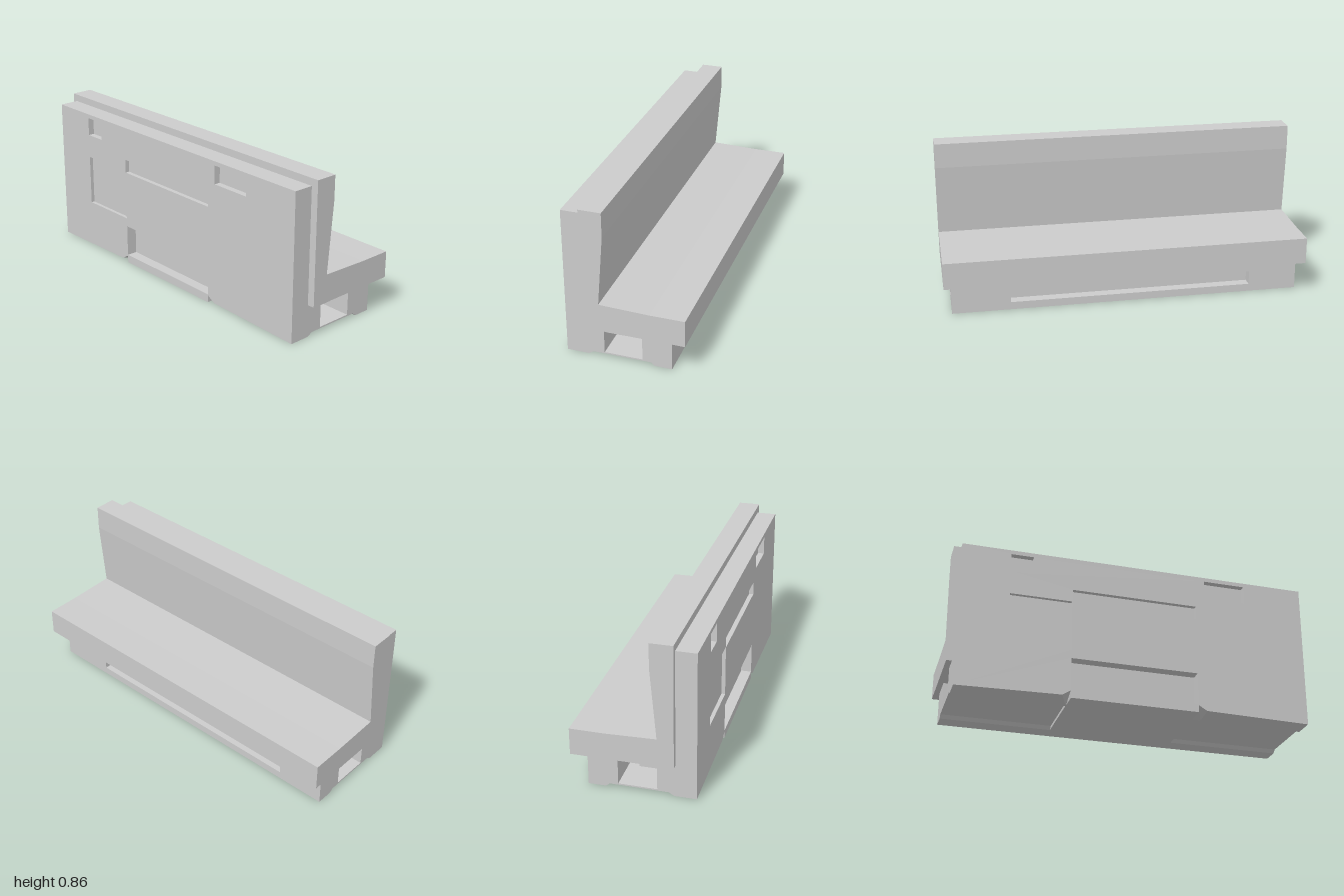
import * as THREE from 'three';

const material = new THREE.MeshStandardMaterial({ color: 0xcccccc });

export function createModel() {
  const model = new THREE.Group();
  model.name = 'boothBench';

  const add = (name, geometry) => {
    const mesh = new THREE.Mesh(geometry, material);
    mesh.name = name;
    model.add(mesh);
    return mesh;
  };
  // Box given by its limits on each axis
  const box = (name, x0, x1, y0, y1, z0, z1) => {
    const g = new THREE.BoxGeometry(x1 - x0, y1 - y0, z1 - z0);
    g.translate((x0 + x1) / 2, (y0 + y1) / 2, (z0 + z1) / 2);
    return add(name, g);
  };
  const outline = (points) => new THREE.Shape(points.map(([a, b]) => new THREE.Vector2(a, b)));
  const rectangle = (x0, x1, y0, y1) => outline([[x0, y0], [x1, y0], [x1, y1], [x0, y1]]);
  // Front outline pulled along z
  const extrudeZ = (shape, z0, z1) => {
    const g = new THREE.ExtrudeGeometry(shape, { depth: z1 - z0, bevelEnabled: false });
    return g.translate(0, 0, z0);
  };
  // Side profile of [z, y] points pulled along x
  const extrudeX = (profile, x0, x1) => {
    const shape = outline(profile.map(([z, y]) => [-z, y]));
    const g = new THREE.ExtrudeGeometry(shape, { depth: x1 - x0, bevelEnabled: false });
    return g.rotateY(Math.PI / 2).translate(x0, 0, 0);
  };

  const L = -0.97, R = 0.96; // ends of panel and base
  const zMid = 0.215, zFront = 0.325, zBack = -0.243;

  // L-shaped seat and backrest
  add('seatAndBackrest', extrudeX([
    [zMid, 0.18], [zMid, 0.855], [0.095, 0.855], [0.095, 0.72],
    [0.128, 0.335], [-0.14, 0.327], [-0.325, 0.327], [-0.325, 0.18],
  ], -1, 1));

  // Tall panel with recesses: x0, x1, y0, y1, depth
  const recesses = [
    [-0.705, -0.582, 0.69, 0.792, 0.035],
    [0.385, 0.62, 0.69, 0.792, 0.035],
    [-0.705, -0.367, 0.273, 0.556, 0.02],
    [-0.365, 0.332, 0.551, 0.627, 0.025],
    [-0.365, 0.332, 0.046, 0.224, 0.06],
  ];
  const panelShape = outline([
    [L, 0], [-0.41, 0.012], [-0.366, 0.04], [-0.364, 0],
    [0.331, 0], [0.333, 0.04], [0.38, 0.012], [R, 0], [R, 0.815], [L, 0.815],
  ]);
  for (const [x0, x1, y0, y1] of recesses) panelShape.holes.push(rectangle(x0, x1, y0, y1));
  const panel = extrudeZ(panelShape, zMid, zFront);
  // The notches in the bottom edge run out to nothing at the rear
  const p = panel.attributes.position;
  for (let i = 0; i < p.count; i++) {
    if (p.getZ(i) < zMid + 0.01 && p.getY(i) < 0.043) p.setY(i, 0);
  }
  panel.computeVertexNormals();
  add('backPanel', panel);
  recesses.forEach(([x0, x1, y0, y1, depth]) =>
    box('recessFloor', x0, x1, y0, y1, zMid, zFront - depth));

  // Base floor, with a shallow channel under both ends
  const channel = [
    [zMid, 0], [zMid, 0.025], [zBack, 0.025], [zBack, 0],
    [-0.15, 0], [-0.13, 0.017], [0.18, 0.017], [0.208, 0],
  ];
  add('baseFloorRight', extrudeX(channel, L, -0.365));
  box('baseFloorMiddle', -0.365, 0.332, 0, 0.025, zBack, zMid);
  add('baseFloorLeft', extrudeX(channel, 0.332, R));

  // Base walls and core, leaving a pocket at each end
  const pocket = 0.2;
  box('baseFrontWall', L, R, 0.025, 0.18, 0.12, zMid);
  box('baseCore', L + pocket, R - pocket, 0.025, 0.18, -0.085, 0.12);
  box('baseRearWall', L, R, 0.025, 0.18, -0.185, -0.085);
  const kick = rectangle(L, R, 0.025, 0.18);
  kick.holes.push(rectangle(-0.7, 0.64, 0.042, 0.118));
  add('slottedKickBoard', extrudeZ(kick, zBack, -0.185));

  // Small blocks hung in the end pockets
  box('pocketBlockRight', L + 0.03, L + pocket, 0.127, 0.18, 0.02, 0.12);
  box('pocketBlockLeft', R - pocket, R - 0.03, 0.127, 0.18, 0.02, 0.12);

  return model;
}
